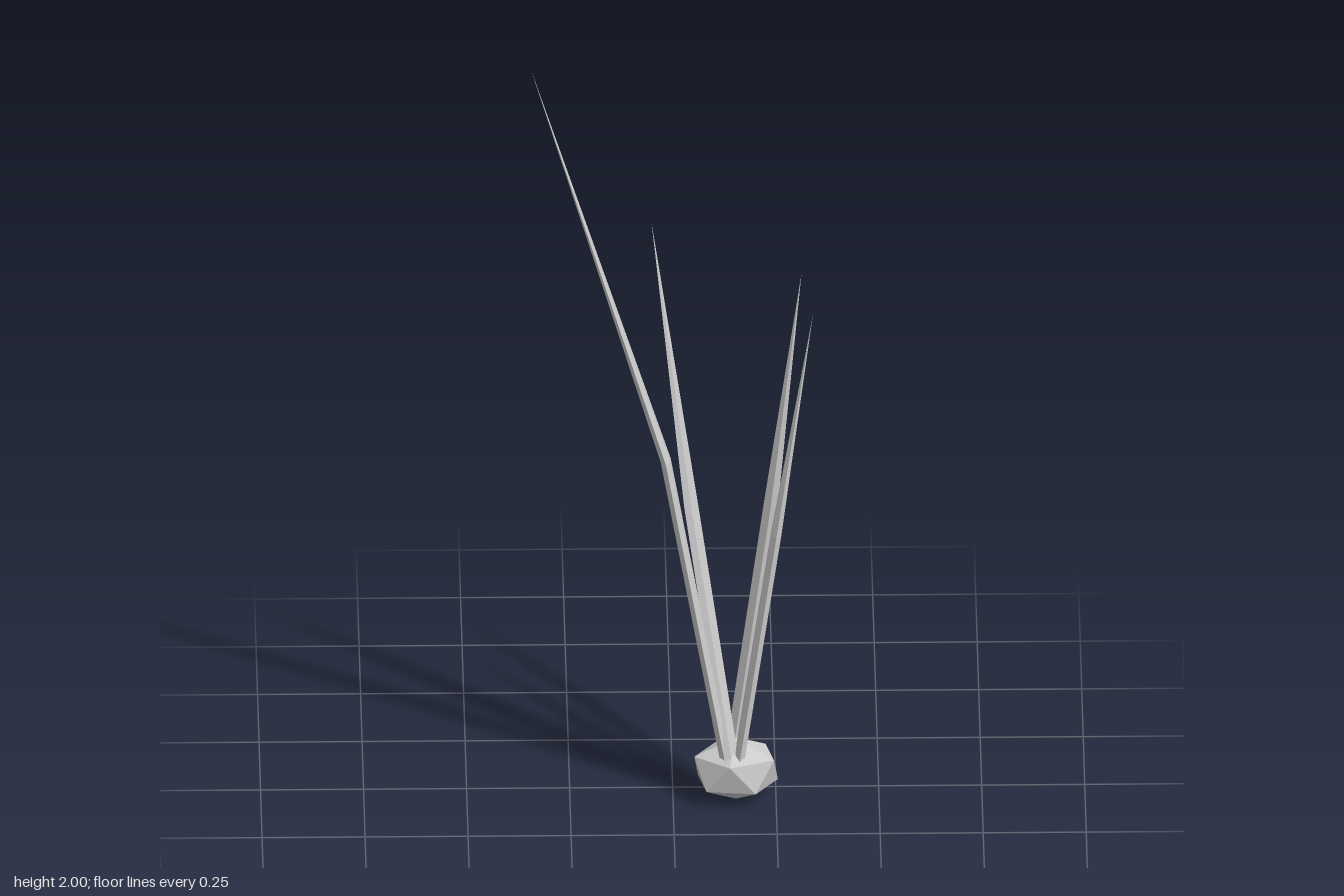
import * as THREE from 'three';

const material = new THREE.MeshStandardMaterial({ color: 0xcccccc, flatShading: true });
const WIDTH = 0.025;   // half width of a blade
const THICK = 0.014;   // half thickness of a blade
const SIDES = 6;

// A faceted blade: straight stalk from base to bend, then a taper to the tip.
function makeBlade(name, base, bend, tip, [wx, wz]) {
  const across = new THREE.Vector3(wx, 0, wz).normalize();
  const outward = new THREE.Vector3(wz, 0, -wx).normalize();
  const ring = ([x, y, z]) => Array.from({ length: SIDES }, (_, i) => {
    const a = (i / SIDES) * Math.PI * 2;
    return new THREE.Vector3(x, y, z)
      .addScaledVector(across, Math.cos(a) * WIDTH)
      .addScaledVector(outward, Math.sin(a) * THICK);
  });
  const low = ring(base), high = ring(bend);
  const top = new THREE.Vector3(...tip), bottom = new THREE.Vector3(...base);
  const points = [];
  for (let i = 0; i < SIDES; i++) {
    const j = (i + 1) % SIDES;
    points.push(low[i], low[j], high[j], low[i], high[j], high[i]); // stalk
    points.push(high[i], high[j], top);                             // taper
    points.push(low[j], low[i], bottom);                            // base cap
  }
  const geometry = new THREE.BufferGeometry().setFromPoints(points);
  geometry.computeVertexNormals();
  const mesh = new THREE.Mesh(geometry, material);
  mesh.name = name;
  return mesh;
}

export function createModel() {
  const group = new THREE.Group();
  group.name = 'grassTuft';

  // Root clump: an icosahedron standing on a corner, squashed
  const clump = new THREE.IcosahedronGeometry(1, 0);
  clump.rotateZ(-Math.atan(2 / (1 + Math.sqrt(5))));
  clump.rotateY(THREE.MathUtils.degToRad(-27));
  clump.scale(0.115, 0.084, 0.085);
  clump.translate(0.153, 0.084, 0.062);
  clump.computeVertexNormals();
  const root = new THREE.Mesh(clump, material);
  root.name = 'rootClump';
  group.add(root);

  // Blades: base, bend, tip, direction of the width in x and z
  group.add(
    makeBlade('tallBlade', [0.13, 0.1, 0.087], [-0.018, 0.94, 0.087], [-0.345, 2, 0.062], [0, 1]),
    makeBlade('leftBlade', [0.157, 0.1, 0.092], [0.25, 0.74, 0.092], [0.34, 1.33, 0.068], [0, -1]),
    makeBlade('backRightBlade', [0.145, 0.1, 0.1], [0.045, 0.77, 0.002], [-0.05, 1.5, -0.09], [-0.65, 0.75]),
    makeBlade('backLeftBlade', [0.143, 0.1, 0.042], [0.239, 0.74, -0.056], [0.315, 1.33, -0.145], [-0.65, -0.75]),
  );
  return group;
}
